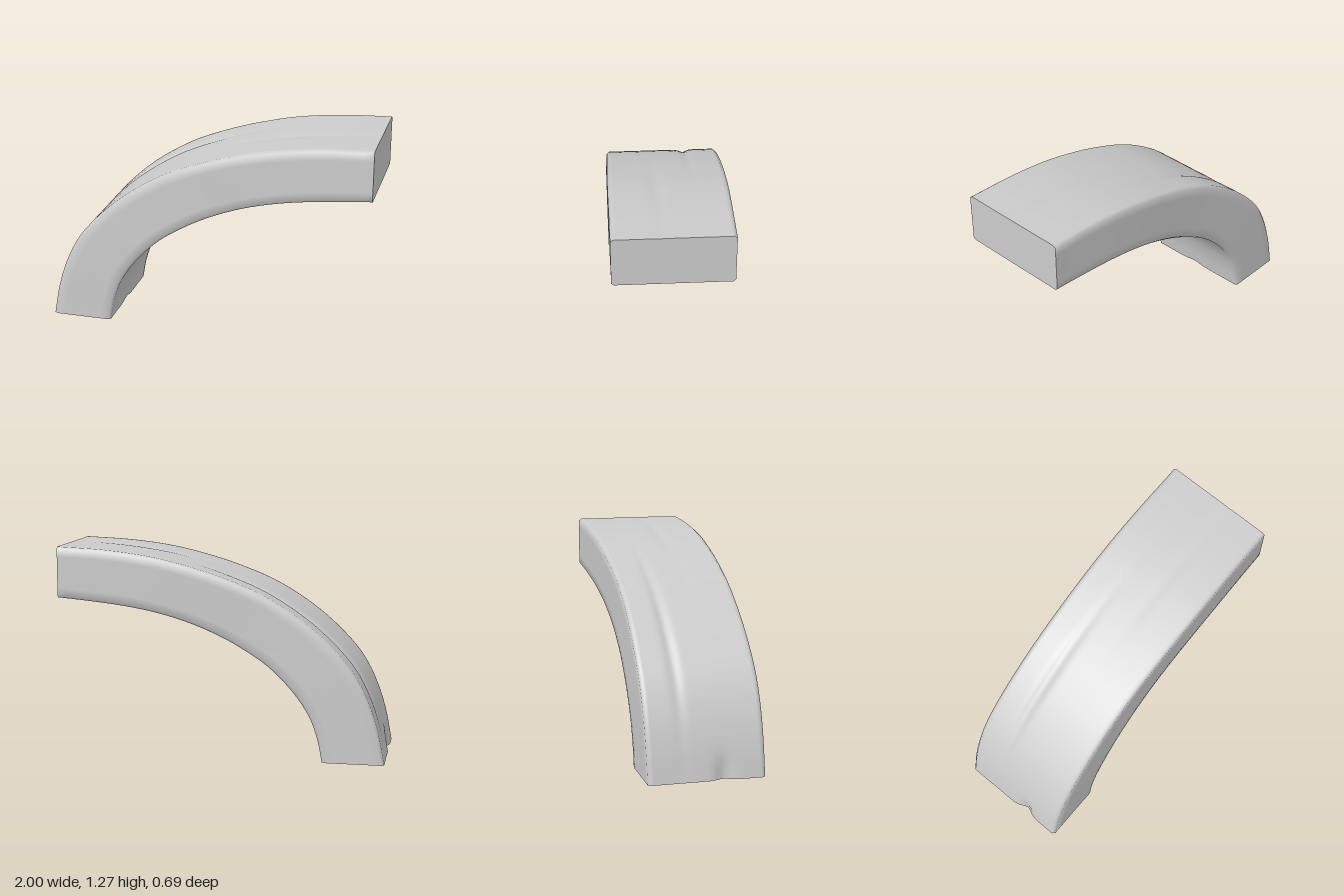
import * as THREE from 'three';
import { toCreasedNormals } from 'three/addons/utils/BufferGeometryUtils.js';

const curve = (pts) => new THREE.CatmullRomCurve3(pts.map(([x, y]) => new THREE.Vector3(x, y, 0)));

// Upper and lower profiles of the arch, from the foot to the flat end
const outer = curve([[-1, 0], [-0.96, 0.2], [-0.9, 0.38], [-0.81, 0.55], [-0.66, 0.72], [-0.48, 0.87],
  [-0.25, 1.01], [0, 1.11], [0.2, 1.17], [0.42, 1.22], [0.7, 1.255], [1, 1.27]]);
const inner = curve([[-0.625, 0], [-0.6, 0.13], [-0.55, 0.27], [-0.45, 0.42], [-0.3, 0.57], [-0.15, 0.67],
  [0, 0.75], [0.2, 0.83], [0.4, 0.885], [0.6, 0.92], [0.8, 0.942], [1, 0.96]]);

const HALF = 0.345, ROWS = 48, STEPS = 40;
const bump = (v, centre, width) => Math.exp(-(((v - centre) / width) ** 2));

// Closed section: w runs from the outer (0) to the inner (1) profile, z across the width
function sectionLoop() {
  const half = [], r = 0.015, rw = 0.04;
  for (let i = 0; i <= STEPS; i++) half.push([0, -HALF + r + (2 * (HALF - r) * i) / STEPS]);
  for (let i = 0; i <= 6; i++) half.push([rw + ((1 - 2 * rw) * i) / 6, HALF]);
  return [...half, ...half.map(([w, z]) => [1 - w, -z])];
}

function archGeometry() {
  const loop = sectionLoop(), n = loop.length, pos = [], index = [];
  for (let j = 0; j <= ROWS; j++) {
    const t = j / ROWS, a = outer.getPointAt(t), b = inner.getPointAt(t);
    const thick = a.distanceTo(b);
    for (const [w, z] of loop) {
      // Shallow worn grooves along the top
      const dent = 0.018 * bump(z, -0.14, 0.03) * bump(t, 0.38, 0.22)
        + 0.006 * bump(z, 0.07, 0.04) * bump(t, 0.8, 0.15);
      const p = a.clone().lerp(b, w + (w < 0.01 ? dent / thick : 0));
      // Chipped edge at the foot
      if (w < 0.01) p.x += 0.03 * bump(z, 0.1, 0.05) * bump(t, 0, 0.04);
      if (j === 0) p.y += 0.012 * bump(z, 0.02, 0.06) * w;
      // Slightly uneven sides
      const swell = 1 + 0.012 * Math.sin(t * Math.PI) * Math.sin(t * 9 + 0.5);
      pos.push(p.x, p.y, z * swell);
    }
  }
  for (let j = 0; j < ROWS; j++) for (let i = 0; i < n; i++) {
    const k = (i + 1) % n, q = j * n, s = q + n;
    index.push(q + i, q + k, s + i, q + k, s + k, s + i);
  }
  // Flat caps at the foot and the end
  for (const j of [0, ROWS]) {
    const a = outer.getPointAt(j / ROWS), b = inner.getPointAt(j / ROWS);
    const c = pos.length / 3;
    pos.push((a.x + b.x) / 2, (a.y + b.y) / 2, 0);
    for (let i = 0; i < n; i++) {
      const p = j * n + i, q = j * n + ((i + 1) % n);
      index.push(c, ...(j ? [p, q] : [q, p]));
    }
  }
  const g = new THREE.BufferGeometry();
  g.setAttribute('position', new THREE.Float32BufferAttribute(pos, 3));
  g.setIndex(index);
  return toCreasedNormals(g, 0.9);
}

export function createModel() {
  const group = new THREE.Group();
  group.name = 'archSegment';
  const arch = new THREE.Mesh(archGeometry(), new THREE.MeshStandardMaterial({ color: 0xcccccc }));
  arch.name = 'curvedBeam';
  group.add(arch);
  return group;
}
